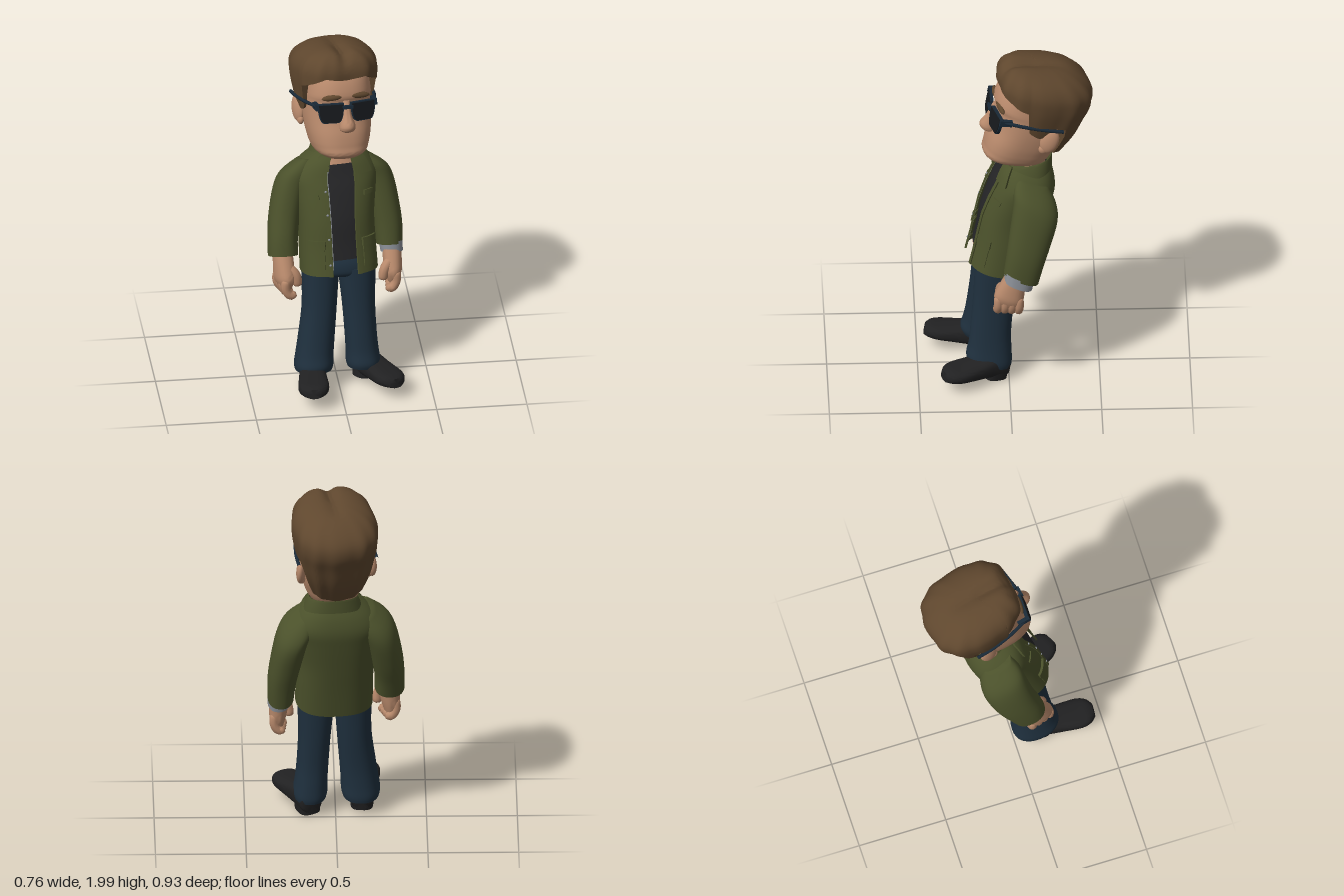
import * as THREE from 'three';
import { toCreasedNormals } from 'three/addons/utils/BufferGeometryUtils.js';

const mat = (name, color, side = THREE.FrontSide) => {
  const m = new THREE.MeshStandardMaterial({ color, side });
  m.name = name;
  return m;
};

// Smooth interpolation through the rows of a table
function sample(rows, t) {
  const n = rows.length - 1;
  const i = Math.min(Math.max(Math.floor(t), 0), n - 1), f = t - i;
  const r = k => rows[Math.min(Math.max(k, 0), n)];
  return rows[0].map((_, c) => {
    const [a, b, d, e] = [r(i - 1)[c], r(i)[c], r(i + 1)[c], r(i + 2)[c]];
    return b + 0.5 * f * (d - a + f * (2 * a - 5 * b + 4 * d - e + f * (3 * (b - d) + e - a)));
  });
}

// Linear lookup in [key, value] pairs
function lookup(table, k) {
  for (let i = 1; i < table.length; i++) {
    const [k0, v0] = table[i - 1], [k1, v1] = table[i];
    if (k <= k1) return v0 + (v1 - v0) * Math.max(0, (k - k0) / (k1 - k0));
  }
  return table[table.length - 1][1];
}

// Body surface from rows [x, y, z, rx, rz]; angle 0 is the front, t climbs the rows
function surface(rows, { p = 2.3, slope = 0.2, yaw = 0 } = {}) {
  const pw = s => Math.sign(s) * Math.abs(s) ** (2 / p);
  return (a, t, grow = 0) => {
    const [x, y, z, rx, rz] = sample(rows, t);
    const lx = (rx + grow) * pw(Math.sin(a)), lz = (rz + grow) * pw(Math.cos(a));
    return new THREE.Vector3(x + lx * Math.cos(yaw) + lz * Math.sin(yaw), y + slope * lz,
      z + lz * Math.cos(yaw) - lx * Math.sin(yaw));
  };
}

// Grid of points fn(iu, iv) turned into a mesh geometry
function grid(nu, nv, fn) {
  const pos = [], idx = [];
  for (let j = 0; j <= nv; j++) for (let i = 0; i <= nu; i++) pos.push(...fn(i, j).toArray());
  for (let j = 0; j < nv; j++) for (let i = 0; i < nu; i++) {
    const a = j * (nu + 1) + i, b = a + 1, c = a + nu + 1;
    idx.push(a, b, c + 1, a, c + 1, c);
  }
  const g = new THREE.BufferGeometry();
  g.setAttribute('position', new THREE.Float32BufferAttribute(pos, 3));
  g.setIndex(idx);
  return toCreasedNormals(g, 0.9);
}

// Closed loft with flat caps
function loft(rows, opts = {}, nu = 36) {
  const s = surface(rows, opts), nv = (rows.length - 1) * 4;
  return grid(nu, nv + 2, (i, j) => {
    const t = Math.min(Math.max(j - 1, 0), nv) / 4;
    if (j === 0 || j === nv + 2) return new THREE.Vector3(...sample(rows, t).slice(0, 3));
    return s((i % nu) / nu * Math.PI * 2, t);
  });
}

// Open loft between two angles
function band(s, a0, a1, t0, t1, nu, nv, grow = 0) {
  return grid(nu, nv, (i, j) => s(a0 + (a1 - a0) * i / nu, t0 + (t1 - t0) * j / nv, grow));
}

// Raised patch sitting on a surface
function patch(s, a0, a1, t0, t1, h) {
  const n = 8;
  return grid(n, n, (i, j) => {
    const rim = i === 0 || j === 0 || i === n || j === n;
    const u = Math.min(Math.max(i - 1, 0), n - 2) / (n - 2), v = Math.min(Math.max(j - 1, 0), n - 2) / (n - 2);
    return s(a0 + (a1 - a0) * u, t0 + (t1 - t0) * v, rim ? -0.004 : h);
  });
}

// Round-ended finger along a path
function finger(pts, r) {
  const curve = new THREE.CatmullRomCurve3(pts.map(q => new THREE.Vector3(...q)));
  const g = new THREE.TubeGeometry(curve, 14, r, 10), pos = g.attributes.position;
  for (let k = 0; k < pos.count; k++) {
    const u = Math.floor(k / 11) / 14, c = curve.getPointAt(u);
    const v = new THREE.Vector3().fromBufferAttribute(pos, k).sub(c);
    v.multiplyScalar(Math.sqrt(Math.max(0, 1 - Math.abs(2 * u - 1) ** 7))).add(c);
    pos.setXYZ(k, v.x, v.y, v.z);
  }
  return toCreasedNormals(g, 1.2);
}

export function createModel() {
  const model = new THREE.Group();
  const skin = mat('skin', 0xb98a6c), hairMat = mat('hair brown', 0x5f472e, THREE.DoubleSide);
  const olive = mat('jacket olive', 0x4b512b, THREE.DoubleSide), shirtMat = mat('shirt charcoal', 0x252527, THREE.DoubleSide);
  const denim = mat('denim', 0x1f303e), black = mat('shoe black', 0x212122), lensMat = mat('lens black', 0x16191c);
  const frameMat = mat('frame navy', 0x1a2a38), steel = mat('steel', 0x8d929a, THREE.DoubleSide);
  const add = (parent, name, geo, material, pos) => {
    const m = new THREE.Mesh(geo, material);
    m.name = name;
    if (pos) m.position.set(...pos);
    parent.add(m);
    return m;
  };
  const blob = (x, y, z) => new THREE.SphereGeometry(1, 24, 16).scale(x, y, z);

  // Trousers
  add(model, 'hips', loft([[0.005, 0.675, 0.07, 0.17, 0.1], [0.005, 0.7, 0.066, 0.197, 0.12], [0.005, 0.76, 0.055, 0.195, 0.122],
    [0.005, 0.83, 0.04, 0.17, 0.1]]), denim);
  add(model, 'rightLeg', loft([[-0.14, 0.112, 0.127, 0.102, 0.125], [-0.138, 0.145, 0.128, 0.108, 0.132], [-0.132, 0.21, 0.12, 0.104, 0.122],
    [-0.12, 0.32, 0.11, 0.1, 0.115], [-0.102, 0.5, 0.09, 0.096, 0.115], [-0.095, 0.72, 0.07, 0.104, 0.118]]), denim);
  add(model, 'leftLeg', loft([[0.14, 0.11, 0.11, 0.09, 0.12], [0.138, 0.142, 0.11, 0.095, 0.126], [0.133, 0.21, 0.104, 0.09, 0.118],
    [0.125, 0.32, 0.1, 0.088, 0.112], [0.115, 0.5, 0.085, 0.091, 0.112], [0.106, 0.72, 0.07, 0.106, 0.116]]), denim);

  // Shoes, toes raised
  const shoeRows = [[-0.1, 0.075, 0.045], [-0.08, 0.105, 0.064], [0, 0.115, 0.07], [0.1, 0.088, 0.078], [0.2, 0.064, 0.085],
    [0.255, 0.052, 0.07], [0.285, 0.035, 0.038]].map(([l, h, w]) => [0, l, 0.009 - h / 2, w, h / 2 + 0.009]);
  for (const [name, x, z, yaw, pitch] of [['leftShoe', 0.17, 0.11, 0.46, -0.17], ['rightShoe', -0.15, 0.18, -0.08, -0.2]]) {
    const shoe = new THREE.Group();
    shoe.name = name;
    add(shoe, 'upper', loft(shoeRows, { p: 2.8, slope: 0 }).rotateX(Math.PI / 2), black);
    add(shoe, 'heel', loft([[0, -0.03, -0.035, 0.062, 0.066], [0, 0.03, -0.03, 0.066, 0.07]], { p: 3, slope: 0 }), black);
    shoe.position.set(x, 0.06, z);
    shoe.rotation.set(pitch, yaw, 0);
    model.add(shoe);
  }

  // Jacket body, open at the front, over a shirt
  const torso = surface([[0.01, 0.7, 0.055, 0.213, 0.175], [0.005, 0.85, 0.02, 0.21, 0.175], [0, 1, -0.013, 0.21, 0.18],
    [0, 1.15, -0.058, 0.226, 0.174], [0, 1.24, -0.088, 0.235, 0.163], [0.005, 1.315, -0.1, 0.192, 0.143],
    [0.015, 1.375, -0.108, 0.12, 0.11]], { p: 2.5, yaw: 0.12 });
  const gap = 0.25, full = Math.PI * 2;
  add(model, 'jacketBody', band(torso, gap, full - gap, 0, 6, 48, 28), olive);
  add(model, 'shirt', band(torso, 0, full, 0.6, 4.85, 48, 24, -0.016), shirtMat);
  add(model, 'zip', band(torso, -gap, -gap + 0.018, 0.3, 4.4, 1, 28, -0.002), steel);
  for (const s of [1, -1]) {
    const side = s > 0 ? 'left' : 'right';
    const p = (name, a0, a1, t0, t1, h) =>
      add(model, side + name, patch(torso, s > 0 ? a0 : -a1, s > 0 ? a1 : -a0, t0, t1, h), olive);
    p('Placket', gap, 0.36, 0, 4.3, 0.006);
    p('Lapel', gap, 0.75, 4.1, 5.6, 0.014);
    p('Pocket', 0.45, 0.95, 0.35, 1.1, 0.006);
    p('PocketFlap', 0.42, 0.98, 1.02, 1.34, 0.012);
    p('ChestPocket', 0.5, 0.85, 2.85, 3.05, 0.007);
  }
  for (let i = 0; i < 4; i++) add(model, 'button', blob(0.007, 0.007, 0.005), steel, torso(-0.31, 0.5 + i * 0.9, 0.006).toArray());
  const collar = surface([[0.02, 1.315, -0.09, 0.168, 0.148], [0.02, 1.37, -0.1, 0.145, 0.138], [0.02, 1.392, -0.107, 0.128, 0.128],
    [0.02, 1.35, -0.105, 0.11, 0.105]], { slope: -0.14, yaw: 0.12 });
  add(model, 'collar', band(collar, 0.45, full - 0.45, 0, 3, 40, 12), olive);

  // Sleeves, cuffs dropping towards the back
  add(model, 'leftSleeve', loft([[0.304, 0.765, -0.062, 0.072, 0.095], [0.297, 0.88, -0.085, 0.08, 0.102], [0.277, 1, -0.112, 0.086, 0.112],
    [0.244, 1.15, -0.143, 0.09, 0.122], [0.205, 1.235, -0.14, 0.087, 0.114], [0.155, 1.305, -0.13, 0.05, 0.08]], { slope: 0.4 }), olive);
  add(model, 'rightSleeve', loft([[-0.297, 0.785, 0.04, 0.083, 0.092], [-0.296, 0.88, 0.01, 0.083, 0.102], [-0.281, 1, -0.035, 0.087, 0.112],
    [-0.248, 1.15, -0.078, 0.09, 0.12], [-0.208, 1.24, -0.092, 0.087, 0.112], [-0.155, 1.312, -0.098, 0.05, 0.08]], { slope: 0.4 }), olive);
  add(model, 'wristBand', loft([[0.315, 0.725, -0.045, 0.061, 0.077], [0.311, 0.785, -0.055, 0.065, 0.082]], { slope: 0.4 }), steel);

  // Hands, loosely curled
  for (const [s, x, y, z, turn] of [[1, 0.312, 0.76, -0.038, -0.1], [-1, -0.303, 0.8, 0.06, 0.32]]) {
    const hand = new THREE.Group();
    hand.name = s > 0 ? 'leftHand' : 'rightHand';
    add(hand, 'palm', loft([[s * 0.006, -0.19, 0.045, 0.026, 0.06], [s * 0.01, -0.13, 0.045, 0.047, 0.08],
      [s * 0.006, -0.07, 0.03, 0.052, 0.074], [0, 0.02, 0, 0.052, 0.058]], {}, 24), skin);
    for (let i = 0; i < 4; i++) {
      const fz = 0.1 - 0.038 * i;
      add(hand, 'finger', finger([[s * 0.025, -0.1, fz], [s * 0.024, -0.17, fz], [-s * 0.002, -0.207, fz + 0.006],
        [-s * 0.03, -0.19, fz + 0.008]], 0.026), skin);
    }
    add(hand, 'thumb', finger([[s * 0.005, -0.04, 0.06], [-s * 0.035, -0.09, 0.092], [-s * 0.05, -0.165, 0.095]], 0.028), skin);
    hand.position.set(x, y, z);
    hand.rotation.y = turn;
    model.add(hand);
  }

  // Neck and head, leaning back and turned a little
  add(model, 'neck', loft([[0.015, 1.25, -0.09, 0.17, 0.13], [0.02, 1.32, -0.1, 0.115, 0.112], [0.02, 1.38, -0.1, 0.092, 0.097],
    [0.02, 1.48, -0.11, 0.09, 0.1]]), skin);
  const head = new THREE.Group();
  head.name = 'head';
  head.position.set(0.01, 1.4, -0.1);
  head.rotation.set(-0.2, 0.17, 0);
  model.add(head);
  const depth = ([y, w, zb, zf]) => [0, y, (zb + zf) / 2, w, (zf - zb) / 2];
  add(head, 'face', loft([[-0.045, 0.06, -0.02, 0.165], [-0.034, 0.1, -0.06, 0.215], [-0.005, 0.14, -0.1, 0.25], [0.035, 0.158, -0.12, 0.25],
    [0.07, 0.167, -0.13, 0.25], [0.12, 0.176, -0.15, 0.246], [0.2, 0.183, -0.16, 0.232], [0.29, 0.183, -0.17, 0.234],
    [0.34, 0.181, -0.17, 0.25], [0.44, 0.165, -0.16, 0.225], [0.51, 0.12, -0.1, 0.15]].map(depth), { p: 2.5, slope: 0 }, 48), skin);
  add(head, 'nose', loft([[0.13, 0.024, 0.2, 0.265], [0.145, 0.042, 0.2, 0.293], [0.175, 0.042, 0.2, 0.303],
    [0.23, 0.027, 0.2, 0.278], [0.31, 0.02, 0.2, 0.255]].map(depth), { p: 2, slope: 0 }, 24), skin);

  // Swept hair with a shaped hairline, locks and a centre parting
  const hairTable = [[0.06, 0.145, -0.165, 0.18], [0.2, 0.19, -0.225, 0.2], [0.32, 0.217, -0.255, 0.232], [0.41, 0.23, -0.278, 0.25],
    [0.485, 0.226, -0.262, 0.258], [0.545, 0.187, -0.195, 0.235], [0.582, 0.11, -0.1, 0.18], [0.594, 0, 0.04, 0.04]];
  const heights = hairTable.map((r, i) => [r[0], i]);
  const hairline = [[0, 0.425], [0.4, 0.44], [0.8, 0.405], [1.18, 0.38], [1.28, 0.24], [1.55, 0.21], [1.66, 0.29], [1.98, 0.28],
    [2.1, 0.1], [3.2, 0.065]];
  const hairSurface = surface(hairTable.map(depth), { p: 2.6, slope: 0 });
  add(head, 'hair', grid(128, 27, (i, j) => {
    const a = (i % 128) / 128 * full, d = Math.min(a, full - a);
    const t0 = lookup(heights, lookup(hairline, d));
    const v = Math.max(0, j - 1) / 26;
    const q = hairSurface(a, t0 + (7 - t0) * v);
    const parting = Math.exp(-((d / 0.15) ** 2)), fringe = Math.exp(-(((d - 0.5) / 0.25) ** 2));
    const lock = 0.016 * Math.cos(12 * a + 1) - 0.05 * parting + 0.025 * fringe;
    const k = j === 0 ? 0.76 : 1 + lock * (1 - v * v);
    q.x *= k;
    q.z = 0.04 + (q.z - 0.04) * k;
    const front = Math.min(1, Math.max(0, (q.z + 0.12) * 5));
    q.y -= Math.min(1, 2 * v) * front * 0.026 * Math.exp(-((q.x / 0.035) ** 2));
    return q;
  }), hairMat);

  // Sunglasses, brows and ears
  const glass = (w, h) => {
    const sh = new THREE.Shape();
    sh.moveTo(-w, h);
    sh.lineTo(w, h);
    sh.quadraticCurveTo(w, -h, w * 0.5, -h);
    sh.lineTo(-w * 0.5, -h);
    sh.quadraticCurveTo(-w, -h, -w, h);
    return sh;
  };
  for (const s of [1, -1]) {
    const side = s > 0 ? 'left' : 'right';
    add(head, side + 'Frame', new THREE.ExtrudeGeometry(glass(0.072, 0.056), { depth: 0.018, bevelEnabled: false }), frameMat,
      [s * 0.09, 0.247, 0.236]).rotation.y = s * 0.16;
    add(head, side + 'Lens', new THREE.ExtrudeGeometry(glass(0.067, 0.051), { depth: 0.008, bevelEnabled: false }), lensMat,
      [s * 0.091, 0.246, 0.25]).rotation.y = s * 0.16;
    const path = [[0.166, 0.288, 0.22], [0.197, 0.287, 0.11], [0.215, 0.286, -0.01], [0.217, 0.284, -0.11]];
    add(head, side + 'Temple', new THREE.TubeGeometry(new THREE.CatmullRomCurve3(
      path.map(([x, y, z]) => new THREE.Vector3(s * x, y, z))), 16, 0.01, 8), frameMat);
    add(head, side + 'Hinge', new THREE.BoxGeometry(0.022, 0.034, 0.07), frameMat, [s * 0.164, 0.285, 0.21]);
    add(head, side + 'Brow', blob(0.058, 0.017, 0.016), hairMat, [s * 0.08, 0.332, 0.234]).rotation.set(0, s * 0.15, -s * 0.08);
    const ear = add(head, side + 'Ear', blob(0.026, 0.078, 0.05), skin, [s * 0.196, 0.205, -0.05]);
    ear.rotation.set(-0.15, s * -0.3, 0);
    add(head, side + 'EarLobe', blob(0.02, 0.03, 0.028), skin, [s * 0.188, 0.145, -0.03]);
  }
  add(head, 'bridge', new THREE.BoxGeometry(0.06, 0.018, 0.02), frameMat, [0, 0.28, 0.266]);
  return model;
}
